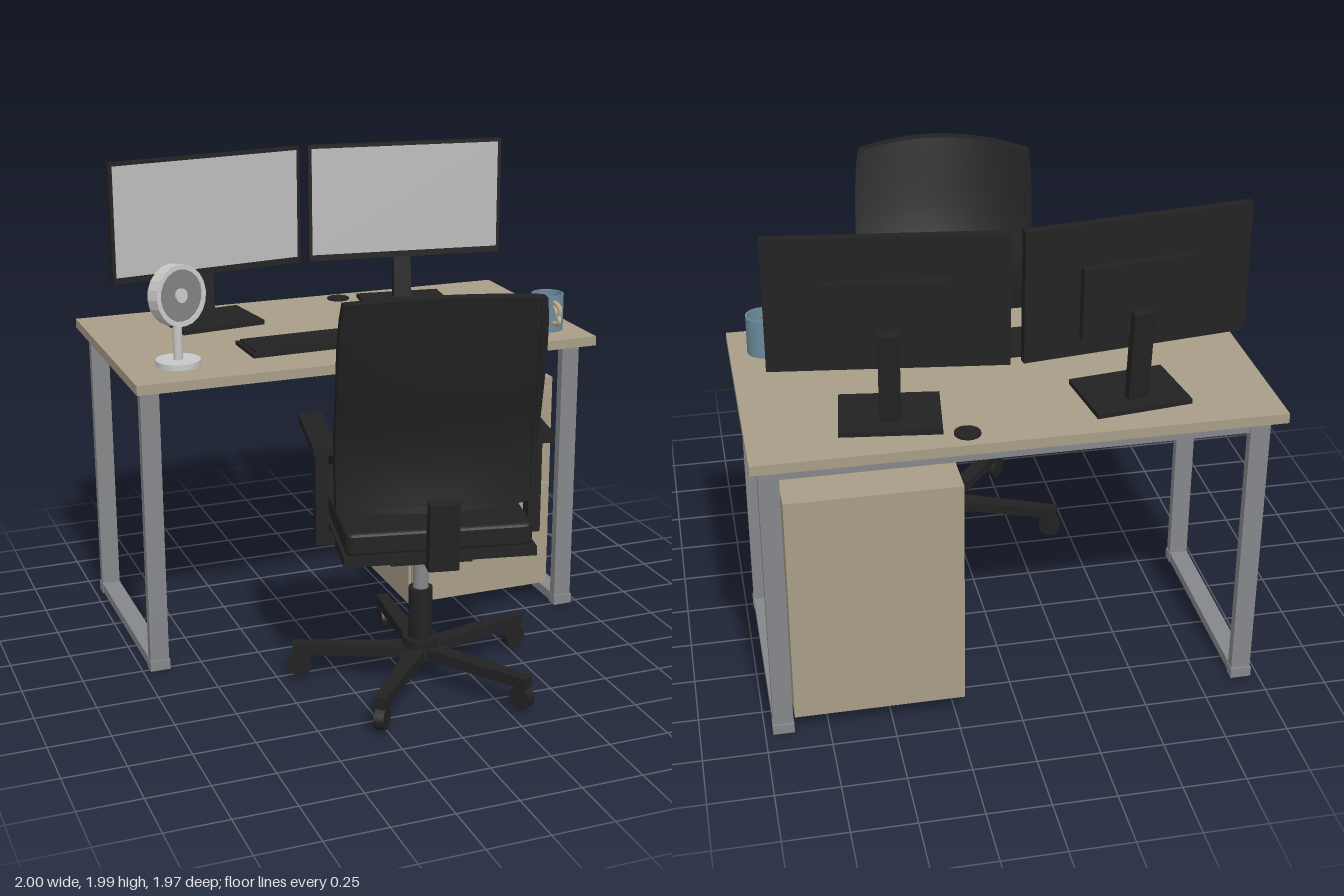
import * as THREE from 'three';

const mat = (name, color, extra = {}) => Object.assign(new THREE.MeshStandardMaterial({ color, ...extra }), { name });

export function createModel() {
  const wood = mat('wood', 0xa89d87);
  const metal = mat('metal', 0x85878a);
  const black = mat('black plastic', 0x222222);
  const screenGrey = mat('screen grey', 0xbcbcbc);
  const lightGrey = mat('light grey', 0xc8c8c8);
  const meshGrey = mat('fan grille grey', 0x808080);
  const blue = mat('mug blue', 0x6c8a9c, { side: THREE.DoubleSide });
  const cream = mat('cream', 0xb8aa90);

  const root = new THREE.Group();
  root.name = 'workstation';

  const group = (name, parent = root, x = 0, y = 0, z = 0, ry = 0) => {
    const g = new THREE.Group();
    g.name = name;
    g.position.set(x, y, z);
    g.rotation.y = ry;
    parent.add(g);
    return g;
  };
  const add = (parent, name, geo, material, x = 0, y = 0, z = 0) => {
    const m = new THREE.Mesh(geo, material);
    m.name = name;
    m.position.set(x, y, z);
    parent.add(m);
    return m;
  };
  // box given by its lower and upper bounds on each axis
  const box = (parent, name, material, [x0, x1], [y0, y1], [z0, z1]) =>
    add(parent, name, new THREE.BoxGeometry(x1 - x0, y1 - y0, z1 - z0), material,
      (x0 + x1) / 2, (y0 + y1) / 2, (z0 + z1) / 2);
  // upright cylinder between two heights
  const post = (parent, name, material, r, y0, y1, x = 0, z = 0, sides = 20) =>
    add(parent, name, new THREE.CylinderGeometry(r, r, y1 - y0, sides), material, x, (y0 + y1) / 2, z);
  // wheel with its axle along x
  const wheel = (parent, name, r, w, x, y, z) =>
    add(parent, name, new THREE.CylinderGeometry(r, r, w, 12).rotateZ(Math.PI / 2), black, x, y, z);

  // ---- desk ----
  const desk = group('desk');
  box(desk, 'desktop', wood, [-1, 1], [1.22, 1.26], [-0.985, 0.1]);
  for (const s of [-1, 1]) {
    const frame = group('legFrame', desk);
    const xs = [s * 0.928 - 0.039, s * 0.928 + 0.039];
    box(frame, 'frontLeg', metal, xs, [0.045, 1.18], [-0.03, 0.01]);
    box(frame, 'rearLeg', metal, xs, [0.045, 1.18], [-0.89, -0.85]);
    box(frame, 'topRail', metal, xs, [1.18, 1.22], [-0.89, 0.01]);
    box(frame, 'floorRail', metal, xs, [0.005, 0.045], [-0.89, 0.01]);
    for (const z of [-0.872, -0.008])
      box(frame, 'footCap', metal, [xs[0] - 0.003, xs[1] + 0.003], [0, 0.042], [z - 0.027, z + 0.027]);
  }
  box(desk, 'crossRail', metal, [-0.89, 0.89], [1.135, 1.2], [-0.885, -0.85]);
  post(desk, 'cableGrommet', black, 0.05, 1.26, 1.267, 0.2, -0.9);

  // ---- drawer cabinet ----
  const cabinet = group('drawerCabinet');
  box(cabinet, 'cabinetBody', wood, [0.214, 0.884], [0.08, 1.045], [-0.91, -0.066]);
  for (const [y0, y1, hy] of [[0.797, 1.005, 0.955], [0.577, 0.783, 0.738], [0.125, 0.562, 0.522]]) {
    box(cabinet, 'drawerFront', wood, [0.226, 0.876], [y0, y1], [-0.066, -0.052]);
    box(cabinet, 'drawerHandle', metal, [0.465, 0.636], [hy - 0.009, hy + 0.009], [-0.04, -0.029]);
    for (const x of [0.48, 0.62])
      box(cabinet, 'handleMount', metal, [x - 0.008, x + 0.008], [hy - 0.006, hy + 0.006], [-0.053, -0.039]);
  }
  add(cabinet, 'lock', new THREE.CylinderGeometry(0.014, 0.014, 0.008, 14).rotateX(Math.PI / 2), metal, 0.786, 0.92, -0.049);
  for (const x of [0.3, 0.802]) for (const z of [-0.17, -0.81]) {
    wheel(cabinet, 'cabinetCaster', 0.031, 0.028, x, 0.042, z);
    post(cabinet, 'casterStem', black, 0.014, 0.05, 0.081, x, z, 8);
  }

  // ---- monitors, angled towards the middle ----
  for (const s of [-1, 1]) {
    const mon = group('monitor', root, s * 0.461 - 0.002, 0, -0.735, -s * 0.13);
    box(mon, 'monitorCase', black, [-0.442, 0.442], [1.477, 1.993], [-0.017, 0.017]);
    box(mon, 'screen', screenGrey, [-0.427, 0.427], [1.505, 1.98], [0.015, 0.019]);
    box(mon, 'rearHousing', black, [-0.228, 0.228], [1.55, 1.83], [-0.048, -0.017]);
    const neck = box(mon, 'standNeck', black, [-0.04, 0.04], [1.27, 1.64], [-0.075, -0.035]);
    neck.rotation.x = -0.07;
    box(mon, 'standBase', black, [-0.19, 0.19], [1.26, 1.28], [-0.13, 0.165]);
  }

  // ---- keyboard ----
  const keyboard = group('keyboard', root, -0.1, 1.26, -0.227, 0.03);
  box(keyboard, 'keyboardBody', black, [-0.364, 0.364], [0, 0.017], [-0.113, 0.113]);
  for (let i = 0; i < 5; i++) {
    const z = -0.08 + i * 0.04;
    box(keyboard, 'keyRow', black, [-0.35, 0.35], [0.017, 0.027], [z - 0.017, z + 0.017]);
  }

  // ---- mouse ----
  const mouse = add(root, 'mouse', new THREE.SphereGeometry(1, 18, 8, 0, Math.PI * 2, 0, Math.PI / 2), black, 0.425, 1.26, -0.23);
  mouse.scale.set(0.052, 0.048, 0.085);

  // ---- mug ----
  const mug = group('mug', root, 0.86, 1.26, -0.09);
  const wall = [[0, 0], [0.069, 0], [0.069, 0.158], [0.062, 0.158], [0.062, 0.012], [0, 0.012]];
  for (let i = 0; i < wall.length - 1; i++)
    add(mug, 'mugWall', new THREE.LatheGeometry(wall.slice(i, i + 2).map(p => new THREE.Vector2(...p)), 24), blue);
  const grip = new THREE.CatmullRomCurve3([[0.128, 0.064], [0.125, 0.1], [0.112, 0.12], [0.085, 0.118], [0.052, 0.118], [0.03, 0.06]]
    .slice(0, 4).reverse().map(([y, z]) => new THREE.Vector3(0, y, z))
    .concat([[0.06, 0.118], [0.043, 0.1], [0.04, 0.064]].map(([y, z]) => new THREE.Vector3(0, y, z))).reverse());
  add(mug, 'mugHandle', new THREE.TubeGeometry(grip, 20, 0.011, 8), cream);

  // ---- desk fan ----
  const fan = group('deskFan', root, -0.77, 1.26, -0.128, 0.42);
  post(fan, 'fanBase', lightGrey, 0.092, 0, 0.024);
  post(fan, 'fanPole', lightGrey, 0.019, 0.02, 0.185, 0, 0, 14);
  const head = group('fanHead', fan, 0.005, 0.287, 0);
  head.rotation.x = -0.1;
  const disc = (name, material, r, depth, z) =>
    add(head, name, new THREE.CylinderGeometry(r, r, depth, 20).rotateX(Math.PI / 2), material, 0, 0, z);
  const ring = new THREE.Shape().absarc(0, 0, 0.125, 0, Math.PI * 2);
  ring.holes.push(new THREE.Path().absarc(0, 0, 0.105, 0, Math.PI * 2, true));
  add(head, 'fanRim', new THREE.ExtrudeGeometry(ring, { depth: 0.06, bevelEnabled: false, curveSegments: 10 }), lightGrey, 0, 0, -0.03);
  disc('fanGrille', meshGrey, 0.106, 0.046, 0);
  disc('fanHub', lightGrey, 0.029, 0.064, 0);

  // ---- office chair, facing -z before it is turned ----
  const chair = group('officeChair', root, 0.045, 0, 0.466, -0.2);
  const base = group('chairBase', chair, 0, 0, 0, 0.13);
  for (let i = 0; i < 5; i++) {
    const arm = group('baseArm', base, 0, 0, 0, i * Math.PI * 2 / 5);
    const spoke = new THREE.BoxGeometry(0.075, 0.046, 0.51);
    const p = spoke.attributes.position;
    for (let k = 0; k < p.count; k++) if (p.getZ(k) < 0) p.setX(k, p.getX(k) * 0.65);
    add(arm, 'baseSpoke', spoke, black, 0, 0.131, -0.265);
    post(arm, 'casterStem', black, 0.014, 0.06, 0.112, 0, -0.485, 8);
    wheel(arm, 'chairCaster', 0.048, 0.04, 0, 0.06, -0.49);
  }
  post(chair, 'baseHub', black, 0.072, 0.105, 0.19);
  post(chair, 'columnShroud', black, 0.049, 0.18, 0.405);
  post(chair, 'gasColumn', metal, 0.031, 0.4, 0.6);
  box(chair, 'tiltMechanism', black, [-0.163, 0.163], [0.59, 0.672], [-0.15, 0.21]);
  box(chair, 'seatPan', black, [-0.372, 0.372], [0.672, 0.71], [-0.43, 0.385]);

  // seat cushion with rounded corners
  const seat = new THREE.Shape();
  const [w, f, b, r] = [0.362, 0.43, 0.37, 0.035];
  seat.moveTo(-w + r, -b).lineTo(w - r, -b).quadraticCurveTo(w, -b, w, -b + r)
    .lineTo(w, f - r).quadraticCurveTo(w, f, w - r, f)
    .lineTo(-w + r, f).quadraticCurveTo(-w, f, -w, f - r)
    .lineTo(-w, -b + r).quadraticCurveTo(-w, -b, -w + r, -b);
  add(chair, 'seatCushion', new THREE.ExtrudeGeometry(seat, { depth: 0.065, bevelThickness: 0.012, bevelSize: 0.01, bevelOffset: -0.01, bevelSegments: 2, curveSegments: 4 })
    .rotateX(-Math.PI / 2), black, 0, 0.72, 0);

  // backrest: flat parts bent to a shared curved surface
  const lean = new THREE.SplineCurve([[0.86, 0.285], [1.0, 0.27], [1.15, 0.275], [1.4, 0.335], [1.74, 0.395]].map(q => new THREE.Vector2(...q)));
  const leanAt = y => {
    let i = 0;
    while (i < 59 && lean.getPoint((i + 1) / 60).x < y) i++;
    const a = lean.getPoint(i / 60), c = lean.getPoint((i + 1) / 60);
    return a.y + (c.y - a.y) * (y - a.x) / (c.x - a.x);
  };
  const bent = (name, [x0, x1], [y0, y1], depth) => {
    const g = new THREE.BoxGeometry(x1 - x0, y1 - y0, depth, 14, 12, 1).translate((x0 + x1) / 2, (y0 + y1) / 2, 0);
    const p = g.attributes.position;
    for (let k = 0; k < p.count; k++) {
      const x = p.getX(k), y = p.getY(k), u = (x / 0.39) ** 2, t = Math.max(0, (y - 1.3) / 0.43);
      p.setXYZ(k, x * (1 - 0.04 * t ** 4), y - 0.035 * u * t ** 2, p.getZ(k) + leanAt(y) + 0.09 * (1 - u));
    }
    g.computeVertexNormals();
    add(chair, name, g, black);
  };
  bent('backPanel', [-0.37, 0.37], [0.89, 1.71], 0.036);
  for (const s of [-1, 1]) bent('backFrameSide', [s * 0.375 - 0.015, s * 0.375 + 0.015], [0.875, 1.728], 0.055);
  bent('backFrameBottom', [-0.37, 0.37], [0.875, 0.905], 0.055);
  bent('backFrameTop', [-0.37, 0.37], [1.698, 1.728], 0.055);
  const spine = box(chair, 'backSpine', black, [-0.058, 0.058], [0.655, 0.925], [0.385, 0.445]);
  spine.rotation.x = 0.06;
  box(chair, 'spineBracket', black, [-0.058, 0.058], [0.65, 0.675], [0.2, 0.43]);

  // armrests
  for (const s of [-1, 1]) {
    const at = (c, h) => [s * c - h, s * c + h];
    box(chair, 'armPad', black, at(0.42, 0.046), [1.075, 1.11], [-0.17, 0.25]);
    box(chair, 'armPost', black, at(0.42, 0.025), [0.68, 1.077], [0.078, 0.154]);
    box(chair, 'armBracket', black, at(0.385, 0.06), [0.675, 0.7], [0.078, 0.154]);
  }
  return root;
}
